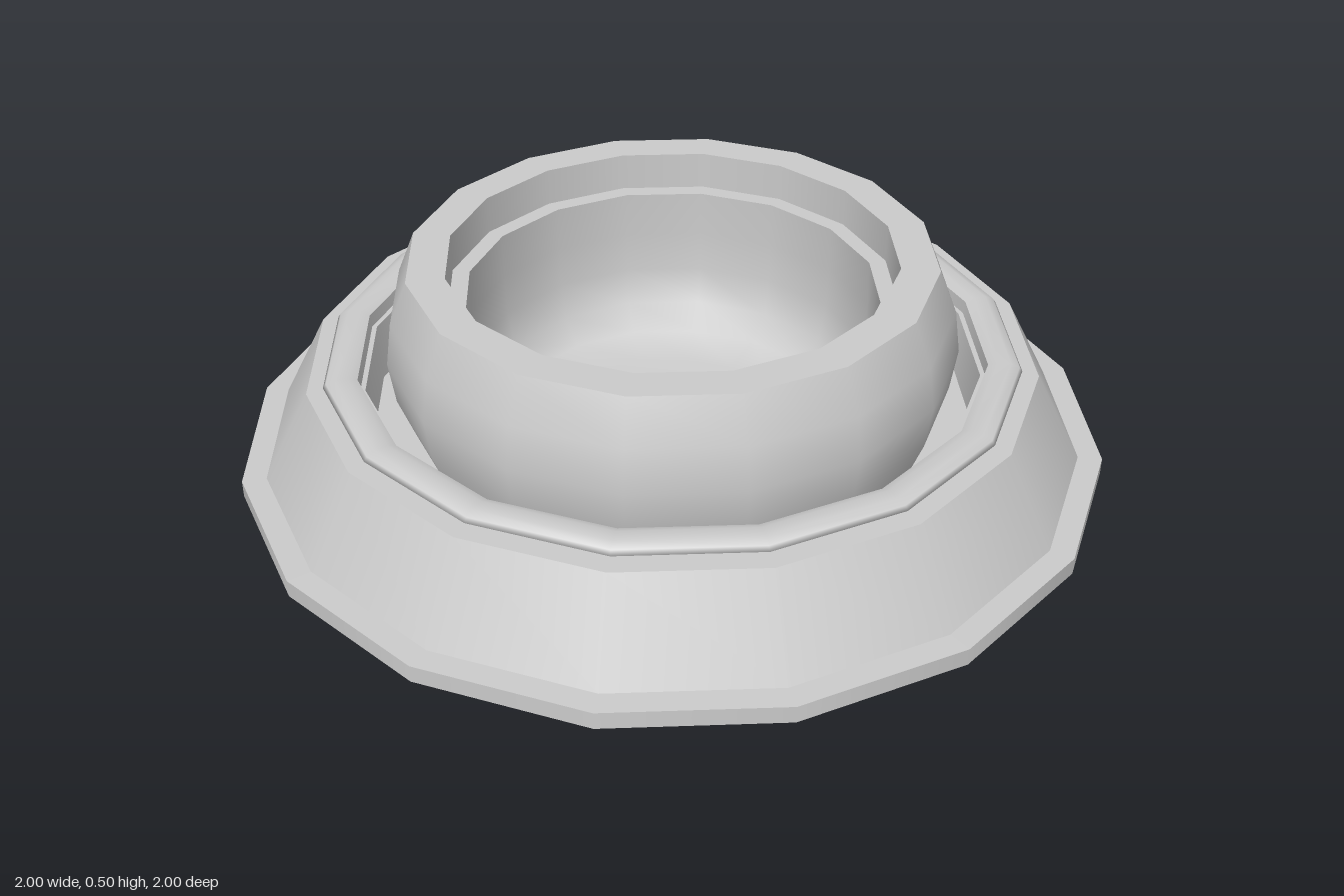
import * as THREE from 'three';
import { mergeGeometries } from 'three/addons/utils/BufferGeometryUtils.js';

const SIDES = 16;
const material = new THREE.MeshStandardMaterial({ color: 0xcccccc, side: THREE.DoubleSide });

// Revolves several profile strips [r, y]; each is smooth inside, with a sharp edge where strips meet
function turned(name, strips) {
  const parts = strips.map((s) =>
    new THREE.LatheGeometry(s.map(([r, y]) => new THREE.Vector2(r, y)), SIDES));
  const mesh = new THREE.Mesh(mergeGeometries(parts), material);
  mesh.name = name;
  return mesh;
}

// Splits a profile into straight strips, so every corner is sharp
const sharp = (pts) => pts.slice(1).map((p, i) => [pts[i], p]);

export function createModel() {
  const model = new THREE.Group();
  model.name = 'recessedLamp';

  // Flange and sloping skirt, hollow underneath
  model.add(turned('skirt', sharp([
    [0.705, 0.24], [0.82, 0.24], [0.94, 0], [1, 0], [1, 0.04],
    [0.945, 0.04], [0.835, 0.25], [0.78, 0.25],
  ])));

  // Rounded bead on top of the skirt
  model.add(turned('bead', [
    [[0.78, 0.25], [0.797, 0.26], [0.79, 0.27], [0.77, 0.278], [0.74, 0.278], [0.72, 0.27]],
  ]));

  // Well that drops from the bead, with a floor ring around the opening
  model.add(turned('well', sharp([[0.72, 0.27], [0.7, 0.1], [0.6, 0.1]])));

  // Bulging housing with a flat rim and an inner ledge
  model.add(turned('housing', [
    [[0.6, 0.1], [0.638, 0.2], [0.652, 0.3], [0.638, 0.4], [0.597, 0.5]],
    ...sharp([[0.597, 0.5], [0.51, 0.5], [0.51, 0.41], [0.47, 0.41]]),
  ]));

  // Deep bowl hanging from the ledge
  model.add(turned('bowl', [
    [[0.47, 0.41], [0.472, 0.3], [0.468, 0.2], [0.45, 0.11], [0.4, 0.055], [0.3, 0.03], [0.15, 0.02], [0, 0.016]],
  ]));

  return model;
}
